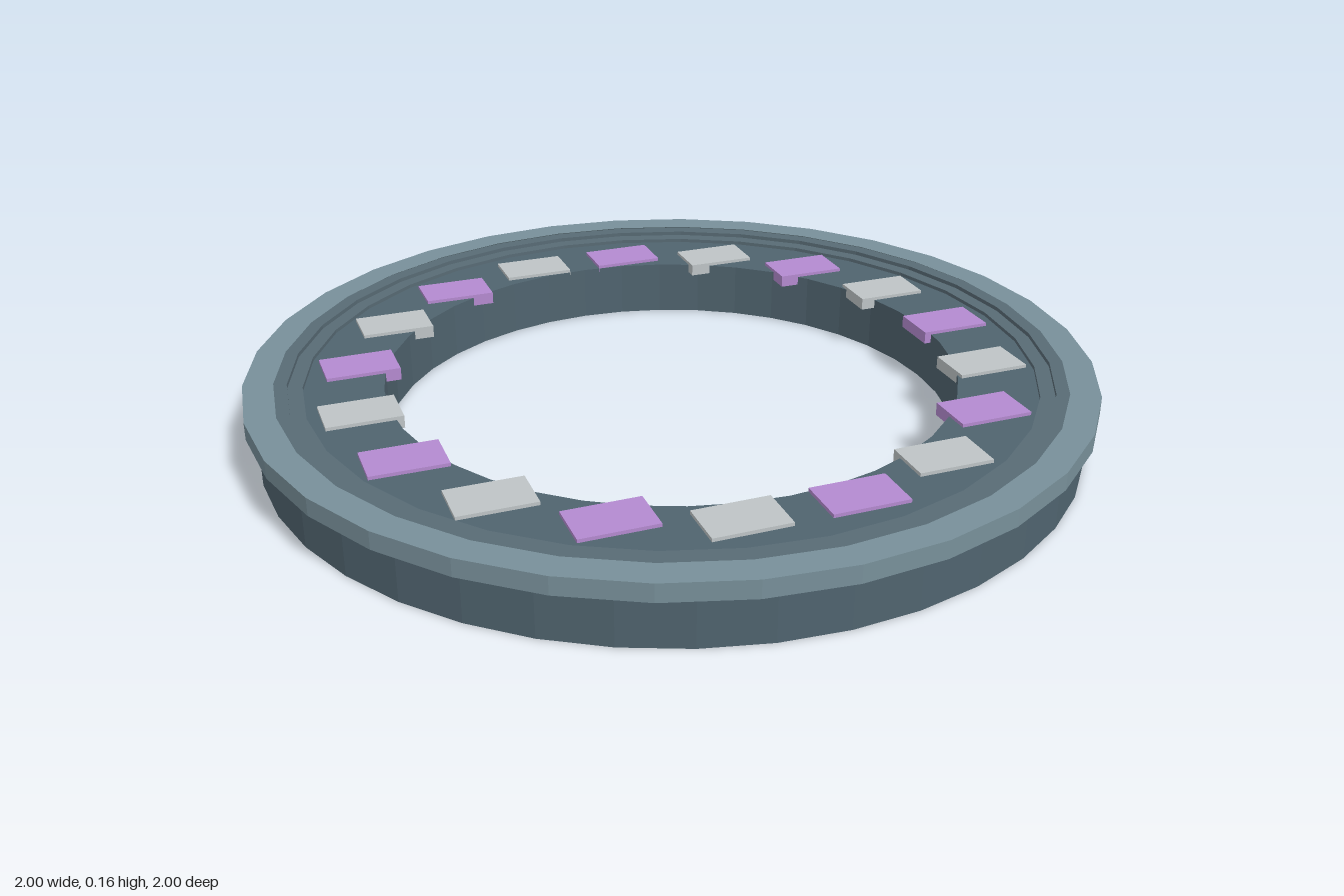
import * as THREE from 'three';

const mat = (name, color, side = THREE.FrontSide) => {
  const m = new THREE.MeshStandardMaterial({ color, flatShading: true, side });
  m.name = name;
  return m;
};

// Profile of [radius, height] points turned around the y axis
function turned(name, points, sides, material) {
  const profile = points.map(([r, y]) => new THREE.Vector2(r, y));
  const mesh = new THREE.Mesh(new THREE.LatheGeometry(profile, sides), material);
  mesh.name = name;
  return mesh;
}

// Wedge-section ring: flat top, upright outside, underside sloping up to the inner edge
const wedge = (inner, outer, bottom, top) =>
  [[inner, top], [outer, bottom], [outer, top], [inner, top]];

// Flat step with an upright inner edge
const step = (inner, outer, bottom, top) =>
  [[outer, top], [inner, top], [inner, bottom]];

export function createModel() {
  const model = new THREE.Group();
  model.name = 'ringPlatform';

  const slate = mat('slate', 0x50646f, THREE.DoubleSide);
  const paleSlate = mat('paleSlate', 0x78909a);
  const midSlate = mat('midSlate', 0x586b75);
  const purple = mat('purple', 0xb48ad0);
  const grey = mat('grey', 0xbec4c6);

  // Hollow-bottomed body with a thin inner wall, overhanging rim and two steps inside the rim
  model.add(
    turned('body', wedge(0.68, 0.975, 0, 0.137), 40, slate),
    turned('innerWall', [[0.68, 0.137], [0.68, 0]], 40, slate),
    turned('rim', wedge(0.93, 1, 0.118, 0.16), 32, paleSlate),
    turned('outerStep', step(0.9, 0.94, 0.13, 0.156), 32, midSlate),
    turned('innerStep', step(0.865, 0.91, 0.13, 0.146), 32, midSlate),
  );

  // Alternating tiles around the inner edge, all facing the same way
  const tiles = new THREE.Group();
  tiles.name = 'tiles';
  const tileGeometry = new THREE.BoxGeometry(0.175, 0.03, 0.116);
  const count = 18;
  for (let i = 0; i < count; i++) {
    const a = (i / count) * Math.PI * 2;
    const tile = new THREE.Mesh(tileGeometry, i % 2 ? grey : purple);
    tile.name = i % 2 ? 'greyTile' : 'purpleTile';
    tile.position.set(0.746 * Math.cos(a), 0.13, 0.746 * Math.sin(a));
    tiles.add(tile);
  }
  model.add(tiles);

  return model;
}
